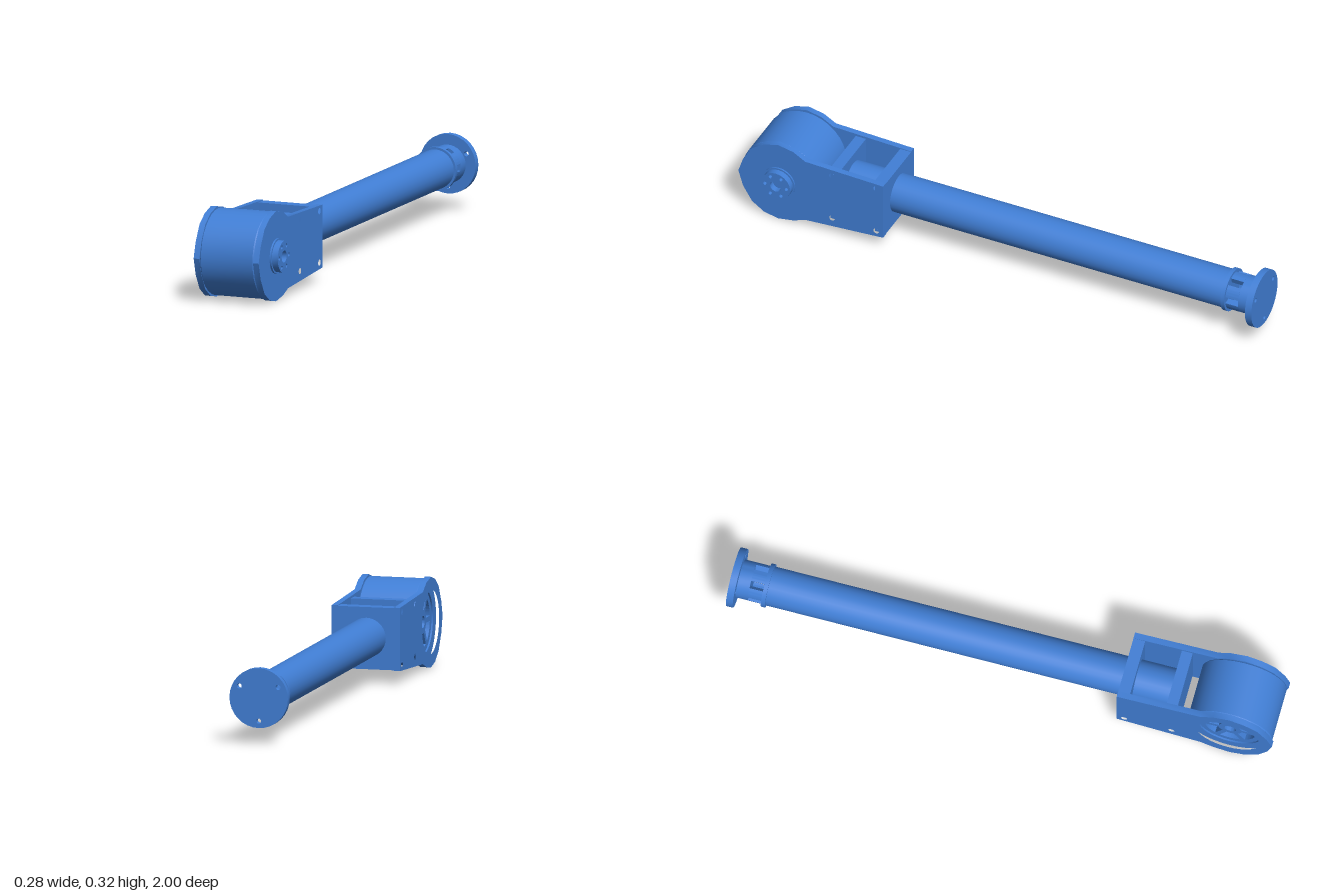
import * as THREE from 'three';
import { toCreasedNormals } from 'three/addons/utils/BufferGeometryUtils.js';

export function createModel() {
  const model = new THREE.Group();
  model.name = 'robotArmLink';
  const blue = new THREE.MeshStandardMaterial({ color: 0x417fd6 });
  blue.name = 'blue';

  const HY = 0.166, HZ = 0.84;     // joint axis
  const TX = -0.017, TY = 0.168;   // tube axis

  const add = (name, geometry) => {
    const mesh = new THREE.Mesh(toCreasedNormals(geometry, 0.5), blue);
    mesh.name = name;
    model.add(mesh);
    return mesh;
  };
  const circle = (Type, x, y, r) => new Type().absarc(x, y, r, 0, Math.PI * 2, Type === THREE.Path);
  const extrude = (shape, depth, curveSegments = 16) =>
    new THREE.ExtrudeGeometry(shape, { depth, bevelEnabled: false, curveSegments });
  // Extrudes a side outline, drawn in (-z, y), from x0 to x1
  const alongX = (name, shape, x0, x1, segments) =>
    add(name, extrude(shape, x1 - x0, segments).rotateY(Math.PI / 2).translate(x0, 0, 0));
  // Extrudes a cross-section, drawn in (x, y) about the tube axis, from z0 to z1
  const alongZ = (name, shape, z0, z1, segments) =>
    add(name, extrude(shape, z1 - z0, segments).translate(TX, TY, z0));

  // Side plates: faceted round head tapering into a square clevis
  const outline = [[0.433, 0.053], [0.738, 0.032], [0.785, 0.014], [0.845, 0.004], [0.9, 0.016],
    [0.947, 0.048], [0.982, 0.105], [1, 0.166], [0.982, 0.222], [0.947, 0.281], [0.9, 0.312],
    [0.845, 0.328], [0.785, 0.316], [0.738, 0.289], [0.433, 0.279]];
  const sidePlate = () => {
    const s = new THREE.Shape(outline.map(([z, y]) => new THREE.Vector2(-z, y)));
    for (const z of [0.46, 0.633]) for (const y of [0.075, 0.26])
      s.holes.push(circle(THREE.Path, -z, y, 0.011));
    return s;
  };
  alongX('leftSidePlate', sidePlate(), 0.088, 0.11);
  const openPlate = sidePlate();
  openPlate.holes.push(circle(THREE.Path, -HZ, HY, 0.115));
  alongX('rightSidePlate', openPlate, -0.14, -0.118);

  // Cross plates with bolt bores running from side to side
  for (const [name, z0, z1, bz] of [['rearCrossPlate', 0.433, 0.476, 0.46], ['frontCrossPlate', 0.61, 0.65, 0.633]]) {
    const s = new THREE.Shape([[-z1, 0.055], [-z0, 0.055], [-z0, 0.277], [-z1, 0.277]]
      .map(p => new THREE.Vector2(...p)));
    for (const y of [0.075, 0.26]) s.holes.push(circle(THREE.Path, -bz, y, 0.011));
    alongX(name, s, -0.118, 0.088);
  }

  // Motor drum with a recess on its right-hand end
  const drum = [[0, 0.088], [0.152, 0.088], [0.155, 0.084], [0.155, -0.114], [0.152, -0.118],
    [0.113, -0.118], [0.113, -0.07], [0, -0.07]].reverse().map(p => new THREE.Vector2(...p));
  add('motorDrum', new THREE.LatheGeometry(drum, 32).rotateZ(-Math.PI / 2).translate(0, HY, HZ));

  // Spoked wheel inside the recess
  const wheel = circle(THREE.Shape, -HZ, HY, 0.113);
  wheel.holes.push(circle(THREE.Path, -HZ, HY, 0.022));
  for (let i = 0; i < 6; i++) {
    const a = i * Math.PI / 3 + Math.PI / 6, w = new THREE.Path();
    w.absarc(-HZ, HY, 0.092, a - 0.42, a + 0.42, false);
    w.absarc(-HZ, HY, 0.042, a + 0.32, a - 0.32, true);
    w.closePath();
    wheel.holes.push(w);
  }
  alongX('spokedWheel', wheel, -0.112, -0.085);

  // Output hub with a centre bore and a ring of bolt holes
  alongX('hubBase', circle(THREE.Shape, -HZ, HY, 0.063), 0.109, 0.116);
  const hub = circle(THREE.Shape, -HZ, HY, 0.057);
  hub.holes.push(circle(THREE.Path, -HZ, HY, 0.022));
  for (let i = 0; i < 6; i++) {
    const a = i * Math.PI / 3;
    hub.holes.push(circle(THREE.Path, -HZ + 0.042 * Math.cos(a), HY + 0.042 * Math.sin(a), 0.007));
  }
  alongX('outputHub', hub, 0.116, 0.139, 10);

  // Long tube
  add('armTube', new THREE.CylinderGeometry(0.071, 0.071, 1.48, 28).rotateX(Math.PI / 2).translate(TX, TY, -0.13));

  // Windowed coupling: collar, pillars and solid neck
  alongZ('couplingCollar', circle(THREE.Shape, 0, 0, 0.079), -0.88, -0.865);
  for (let i = 0; i < 6; i++) {
    const a = i * Math.PI / 3 + Math.PI / 6, s = new THREE.Shape();
    s.absarc(0, 0, 0.069, a - 0.33, a + 0.33, false);
    s.absarc(0, 0, 0.045, a + 0.33, a - 0.33, true);
    alongZ('couplingPillar', s, -0.93, -0.88, 6);
  }
  alongZ('couplingNeck', circle(THREE.Shape, 0, 0, 0.069), -0.976, -0.93);

  // End flange with three bolt holes
  const flange = circle(THREE.Shape, 0, 0, 0.107);
  for (const deg of [30, 150, 270]) {
    const a = deg * Math.PI / 180;
    flange.holes.push(circle(THREE.Path, 0.082 * Math.cos(a), 0.082 * Math.sin(a), 0.009));
  }
  alongZ('endFlange', flange, -1, -0.975);

  return model;
}
